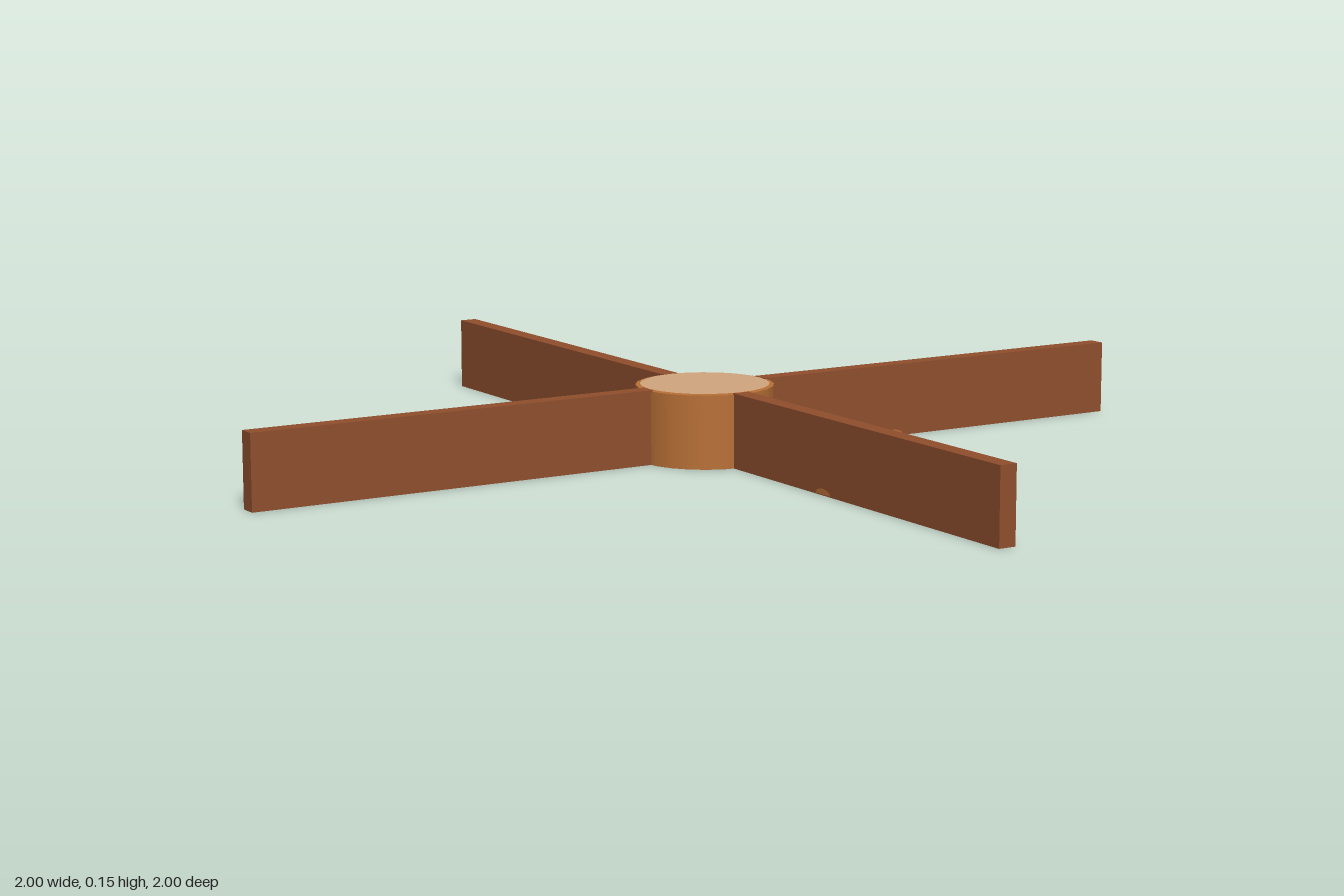
import * as THREE from 'three';

export function createModel() {
  const armWood = new THREE.MeshStandardMaterial({ color: 0x8f4f2d });
  armWood.name = 'dark brown';
  const hubWood = new THREE.MeshStandardMaterial({ color: 0xb87036, side: THREE.DoubleSide });
  hubWood.name = 'copper brown';
  const capWood = new THREE.MeshStandardMaterial({ color: 0xd0a57d });
  capWood.name = 'pale tan';

  const HEIGHT = 0.15, RADIUS = 0.139, THICK = 0.036, INNER = 0.132, SIDES = 24;
  const model = new THREE.Group();
  model.name = 'crossStand';

  const add = (parent, name, geometry, material) => {
    const mesh = new THREE.Mesh(geometry, material);
    mesh.name = name;
    parent.add(mesh);
    return mesh;
  };

  // Hub: a hollow drum, open underneath and closed on top
  const hub = new THREE.Group();
  hub.name = 'hub';
  model.add(hub);
  add(hub, 'hubWall', new THREE.CylinderGeometry(RADIUS, RADIUS, HEIGHT - 0.002, SIDES, 1, true), hubWood)
    .position.y = HEIGHT / 2 - 0.001;
  add(hub, 'hubTop', new THREE.CircleGeometry(RADIUS, SIDES).rotateX(-Math.PI / 2), hubWood)
    .position.y = HEIGHT - 0.002;
  add(hub, 'hubCap', new THREE.CircleGeometry(0.13, SIDES).rotateX(-Math.PI / 2), capWood)
    .position.y = HEIGHT;

  // Four arms, each with a tiny pale mark on the lower edge of one face
  const armGeometry = new THREE.BoxGeometry(1 - INNER, HEIGHT, THICK)
    .translate((1 + INNER) / 2, HEIGHT / 2, 0);
  const markGeometry = new THREE.CircleGeometry(0.025, 10, 0, Math.PI)
    .scale(1, 0.45, 1).translate(0.45, 0.002, THICK / 2 + 0.001);
  for (let i = 0; i < 4; i++) {
    const arm = new THREE.Group();
    arm.name = 'arm' + (i + 1);
    add(arm, 'armBoard', armGeometry, armWood);
    add(arm, 'armMark', markGeometry, hubWood);
    arm.rotation.y = i * Math.PI / 2;
    model.add(arm);
  }
  return model;
}
